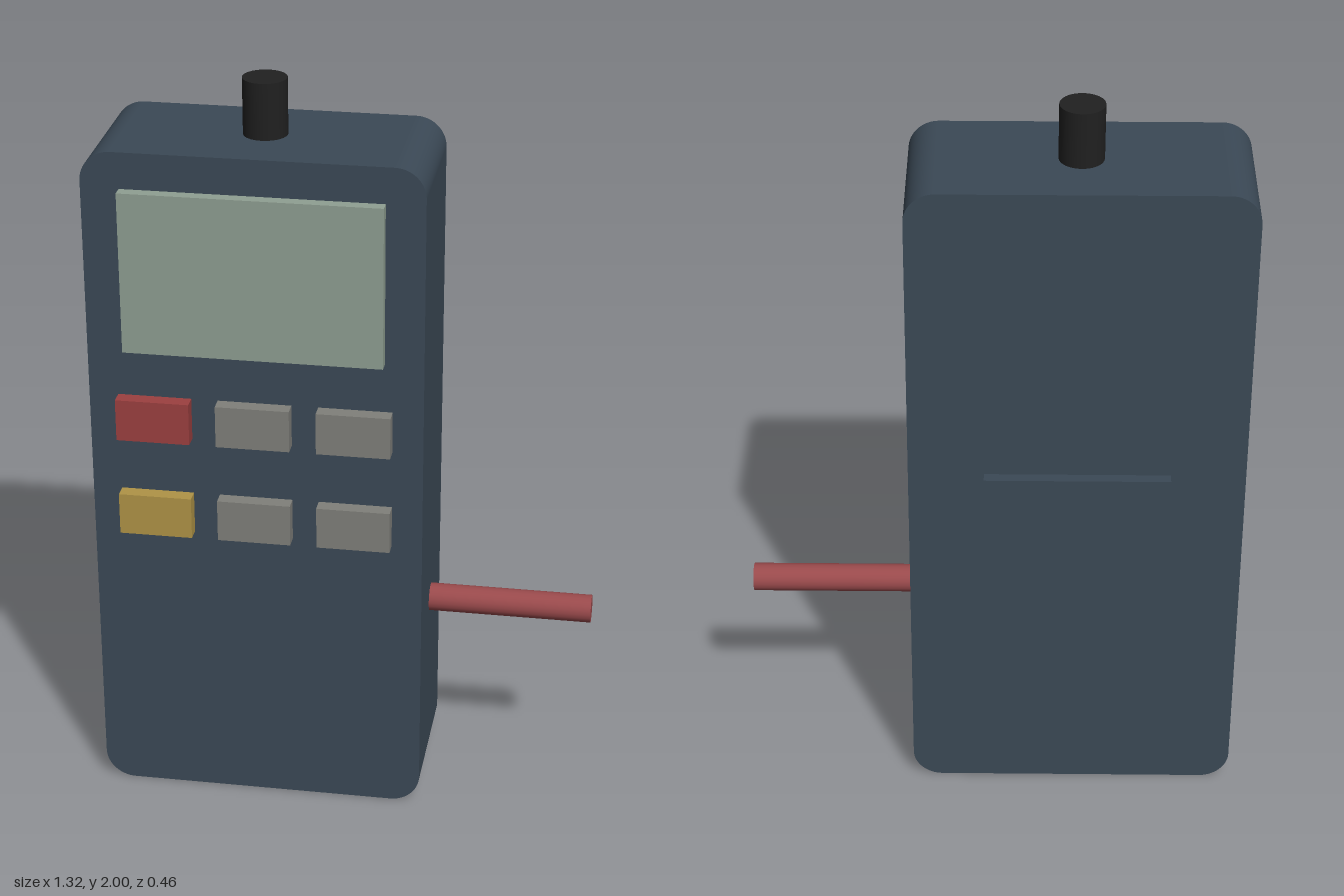
import * as THREE from 'three';

const mat = (name, color) => {
  const m = new THREE.MeshStandardMaterial({ color });
  m.name = name;
  return m;
};

export function createModel() {
  const group = new THREE.Group();
  const navy = mat('slate blue', 0x3b4956);
  const black = mat('black', 0x202020);
  const glass = mat('grey green', 0x8f9f92);
  const red = mat('red', 0x9c4040);
  const probeRed = mat('soft red', 0x9a4a4c);
  const yellow = mat('mustard', 0xb09446);
  const grey = mat('grey', 0x80807b);

  const add = (name, geometry, material, x, y, z) => {
    const mesh = new THREE.Mesh(geometry, material);
    mesh.name = name;
    mesh.position.set(x, y, z);
    group.add(mesh);
    return mesh;
  };
  // box given by its limits on each axis
  const box = (name, material, x0, x1, y0, y1, z0, z1) =>
    add(name, new THREE.BoxGeometry(x1 - x0, y1 - y0, z1 - z0), material,
      (x0 + x1) / 2, (y0 + y1) / 2, (z0 + z1) / 2);

  // case: rounded rectangle extruded front to back
  const w = 0.44, h = 1.85, r = 0.08;
  const outline = new THREE.Shape();
  outline.absarc(w - r, r, r, -Math.PI / 2, 0);
  outline.absarc(w - r, h - r, r, 0, Math.PI / 2);
  outline.absarc(-w + r, h - r, r, Math.PI / 2, Math.PI);
  outline.absarc(-w + r, r, r, Math.PI, Math.PI * 1.5);
  outline.closePath();
  const body = new THREE.ExtrudeGeometry(outline, { depth: 0.39, bevelEnabled: false, curveSegments: 10 });
  // smooth the rim by aiming its normals out from the corner centres
  const p = body.attributes.position, n = body.attributes.normal;
  for (let i = 0; i < p.count; i++) {
    if (Math.abs(n.getZ(i)) > 0.5) continue;
    const dx = p.getX(i) - THREE.MathUtils.clamp(p.getX(i), -w + r, w - r);
    const dy = p.getY(i) - THREE.MathUtils.clamp(p.getY(i), r, h - r);
    const l = Math.hypot(dx, dy);
    if (l > 1e-5) n.setXYZ(i, dx / l, dy / l, 0);
  }
  add('case', body, navy, -0.22, 0, -0.2);

  box('screen', glass, -0.56, 0.118, 1.317, 1.753, 0.17, 0.222);
  box('batteryCover', navy, -0.464, 0.022, 0.44, 1.025, -0.23, -0.18);

  // two rows of three buttons
  [[1.068, red], [0.794, yellow]].forEach(([y, first], row) => {
    for (let col = 0; col < 3; col++) {
      const x = -0.583 + col * 0.264;
      box(`button${row * 3 + col + 1}`, col ? grey : first, x, x + 0.194, y, y + 0.115, 0.17, 0.23);
    }
  });

  // antenna on top, probe out of the left side
  add('antenna', new THREE.CylinderGeometry(0.058, 0.058, 0.2, 24), black, -0.22, 1.9, -0.007);
  const probe = add('probe', new THREE.CylinderGeometry(0.038, 0.038, 0.5, 20), probeRed, 0.41, 0.54, -0.005);
  probe.rotation.z = Math.PI / 2;

  return group;
}
